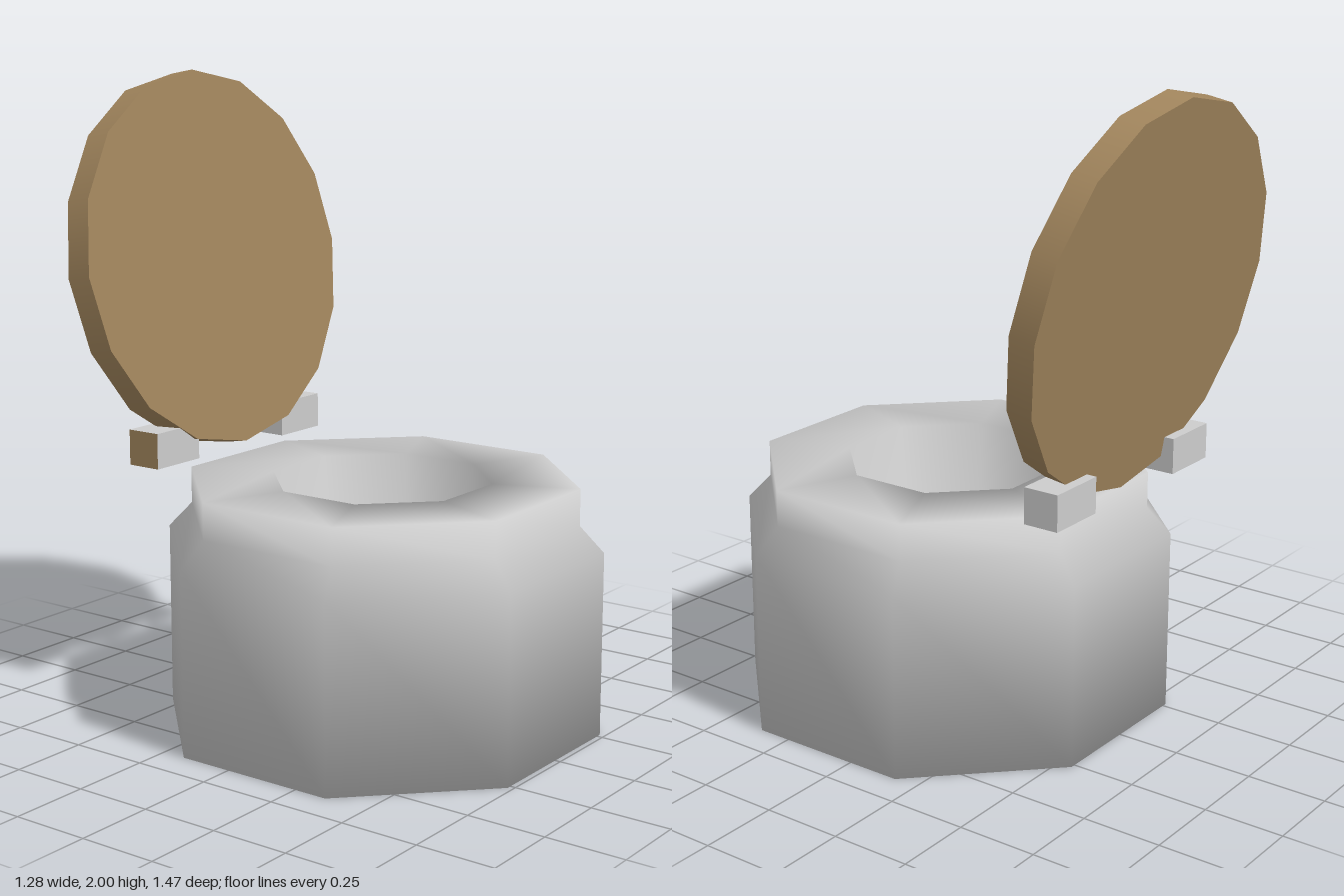
import * as THREE from 'three';

function material(name, hex) {
  const m = new THREE.MeshStandardMaterial({ color: hex });
  m.name = name;
  return m;
}

export function createModel() {
  const model = new THREE.Group();
  model.name = 'openPot';
  const grey = material('light grey', 0xcccccc);
  const tan = material('tan brown', 0xa0845c);

  const add = (name, geometry, mat, x, y, z) => {
    const mesh = new THREE.Mesh(geometry, mat);
    mesh.name = name;
    mesh.position.set(x, y, z);
    model.add(mesh);
    return mesh;
  };

  // Octagonal pot with a stepped shoulder and a deep well, smooth shaded
  const corner = 1 / Math.cos(Math.PI / 8); // flat-to-flat radius to corner radius
  const profile = [
    [0, 0], [0.64, 0], [0.64, 0.58], [0.57, 0.66], [0.57, 0.775],
    [0.32, 0.775], [0.31, 0.1], [0, 0.1],
  ].map(([r, y]) => new THREE.Vector2(r * corner, y));
  add('potBody', new THREE.LatheGeometry(profile, 8, Math.PI / 8), grey, 0, 0, 0.093);

  // Round lid standing open, leaning back ten degrees
  const lid = add('lid', new THREE.CylinderGeometry(0.6, 0.6, 0.085, 16), tan, 0, 1.405, -0.592);
  lid.rotation.x = THREE.MathUtils.degToRad(80);

  // Hinge blocks on either side of the lid's lower edge; one has a tan outer end
  const block = new THREE.BoxGeometry(0.195, 0.112, 0.115);
  add('leftHinge', block, grey, 0.308, 0.855, -0.523);
  add('rightHinge', block, [grey, tan, grey, grey, grey, grey], -0.308, 0.855, -0.523);

  return model;
}
